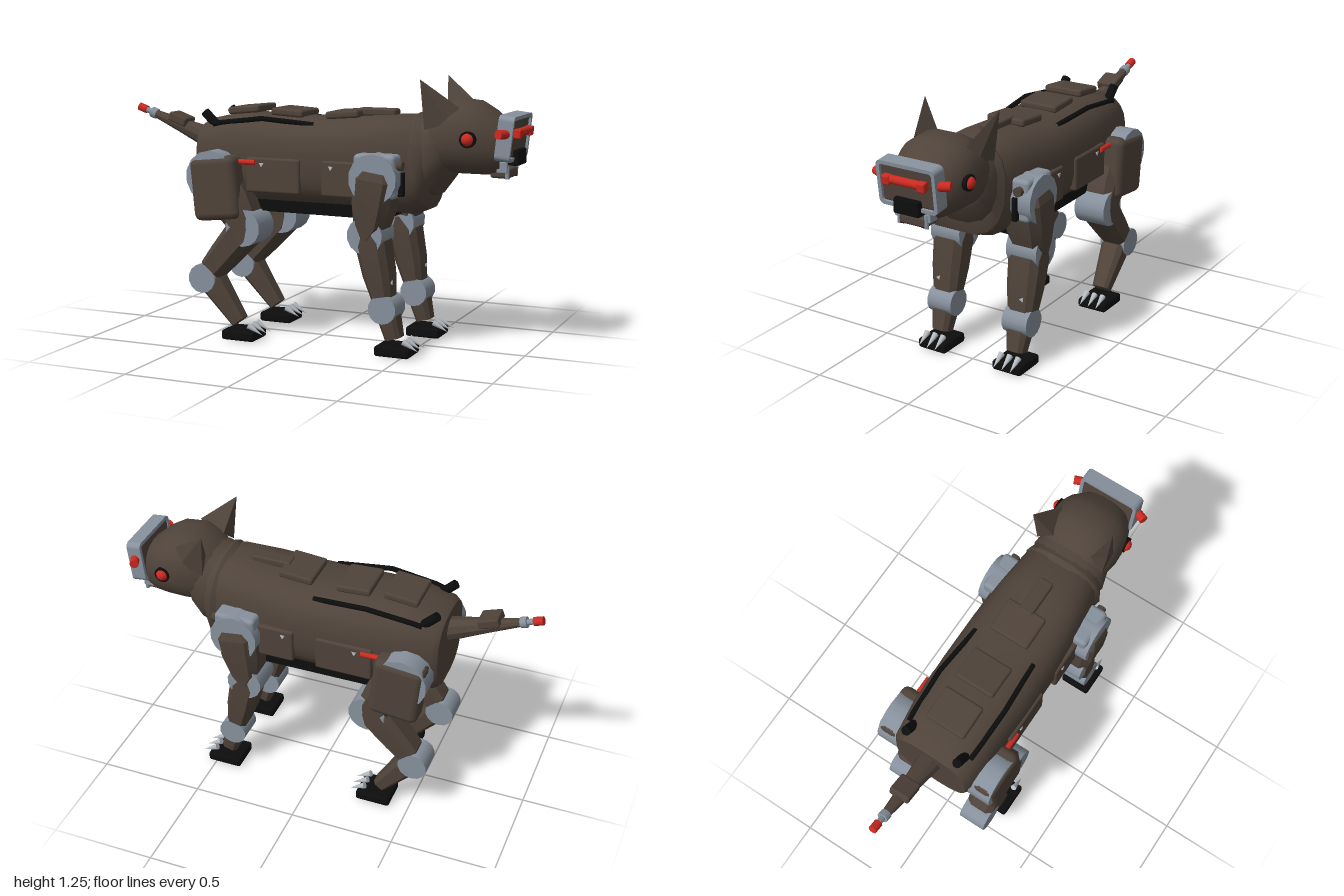
import * as THREE from 'three';
import { toCreasedNormals } from 'three/addons/utils/BufferGeometryUtils.js';
import { RoundedBoxGeometry } from 'three/addons/geometries/RoundedBoxGeometry.js';
import { ConvexGeometry } from 'three/addons/geometries/ConvexGeometry.js';

const mat = (name, color) => Object.assign(new THREE.MeshStandardMaterial({ color }), { name });
const armor = mat('brown armour', 0x4f433a);
const steel = mat('grey steel', 0x87919d);
const rubber = mat('black rubber', 0x0d0d0d);
const red = mat('signal red', 0xcc2a20);
const bright = mat('bright claw metal', 0xb9bec4);

const V = (x, y, z) => new THREE.Vector3(x, y, z);

function add(parent, name, geo, material, x = 0, y = 0, z = 0, rx = 0, ry = 0, rz = 0) {
  const m = new THREE.Mesh(geo, material);
  m.name = name;
  m.position.set(x, y, z);
  m.rotation.set(rx, ry, rz);
  parent.add(m);
  return m;
}

const block = (w, h, d, r = 0.012) => new RoundedBoxGeometry(w, h, d, 2, r);
const cyl = (r, h, n = 16, r2 = r) => new THREE.CylinderGeometry(r, r2, h, n);

// Capped loft along x; station = [x, top, bottom, half width, lean of the bottom in x]
function loft(stations, n = 24, power = 2.5, crease = 0.6) {
  const pos = [], idx = [];
  const sq = (v) => Math.sign(v) * Math.abs(v) ** (2 / power);
  for (const [x, top, bot, w, lean = 0] of stations) {
    for (let j = 0; j < n; j++) {
      const a = ((j + 0.5) / n) * Math.PI * 2, c = sq(Math.cos(a));
      pos.push(x + lean * (1 - c) / 2, (top + bot) / 2 + c * (top - bot) / 2, w * sq(Math.sin(a)));
    }
  }
  const last = stations.length - 1;
  for (const k of [0, last]) {
    const [x, top, bot, , lean = 0] = stations[k];
    pos.push(x + lean / 2, (top + bot) / 2, 0);
  }
  const c0 = (last + 1) * n, c1 = c0 + 1;
  for (let j = 0; j < n; j++) {
    const k = (j + 1) % n;
    for (let i = 0; i < last; i++) {
      const a = i * n + j, b = i * n + k;
      idx.push(a, b, a + n, b, b + n, a + n);
    }
    idx.push(c0, k, j, c1, last * n + j, last * n + k);
  }
  const g = new THREE.BufferGeometry();
  g.setAttribute('position', new THREE.Float32BufferAttribute(pos, 3));
  g.setIndex(idx);
  g.computeVertexNormals();
  return toCreasedNormals(g, crease);
}

// Chamfered limb from a to b in the side plane; stations = [fraction, half width, half depth]
function limb(parent, name, a, b, z, stations) {
  const len = Math.hypot(b[0] - a[0], b[1] - a[1]);
  const geo = loft(stations.map(([t, w, d]) => [t * len, w, -w, d]), 8, 3.5, 0.3);
  add(parent, name, geo, armor, a[0], a[1], z, 0, 0, Math.atan2(b[1] - a[1], b[0] - a[0]));
}

const joint = (p, name, x, y, z, r, depth) => add(p, name, cyl(r, depth, 14), steel, x, y, z, Math.PI / 2);

function foot(parent, x, z) {
  add(parent, 'foot', block(0.17, 0.048, 0.155, 0.014), rubber, x, 0.024, z);
  for (const dz of [-0.045, 0, 0.045])
    add(parent, 'claw', new THREE.ConeGeometry(0.016, 0.085, 8), bright, x + 0.085, 0.052, z + dz, 0, 0, -Math.PI / 2 - 0.5);
}

function frontLeg(s) {
  const g = new THREE.Group();
  g.name = 'frontLeg';
  const z = s * 0.208;
  joint(g, 'shoulderJoint', 0.365, 0.81, s * 0.235, 0.115, 0.13);
  add(g, 'shoulderBlock', block(0.2, 0.2, 0.1, 0.02), steel, 0.365, 0.82, s * 0.235);
  add(g, 'shoulderSlot', block(0.05, 0.11, 0.025, 0.004), rubber, 0.465, 0.785, s * 0.222);
  add(g, 'shoulderBolt', cyl(0.022, 0.06, 8), armor, 0.46, 0.87, s * 0.24, 0, 0, Math.PI / 2);
  limb(g, 'upperLeg', [0.37, 0.84], [0.325, 0.53], s * 0.214,
    [[0, 0.08, 0.095], [0.12, 0.105, 0.108], [0.5, 0.095, 0.105], [0.8, 0.075, 0.09], [1, 0.015, 0.086]]);
  joint(g, 'elbowJoint', 0.325, 0.55, z, 0.085, 0.16);
  limb(g, 'forearm', [0.325, 0.58], [0.405, 0.2], z,
    [[0, 0.015, 0.084], [0.18, 0.075, 0.087], [0.55, 0.068, 0.08], [0.84, 0.05, 0.068], [1, 0.012, 0.064]]);
  joint(g, 'wristJoint', 0.405, 0.215, z, 0.067, 0.132);
  limb(g, 'pastern', [0.4, 0.24], [0.445, 0.075], z, [[0, 0.012, 0.06], [0.3, 0.05, 0.062], [1, 0.04, 0.045]]);
  add(g, 'forearmMark', cyl(0.012, 0.006, 3), bright, 0.438, 0.335, s * 0.23, 0, 0, -Math.PI / 2);
  foot(g, 0.455, z);
  return g;
}

function hindLeg(s) {
  const g = new THREE.Group();
  g.name = 'hindLeg';
  const z = s * 0.208;
  joint(g, 'hipJoint', -0.45, 0.78, s * 0.235, 0.125, 0.14);
  add(g, 'hipArmour', block(0.24, 0.3, 0.12, 0.035), armor, -0.43, 0.725, s * 0.256, 0, 0, 0.1);
  limb(g, 'thigh', [-0.43, 0.76], [-0.28, 0.52], z,
    [[0, 0.1, 0.08], [0.45, 0.1, 0.09], [0.8, 0.08, 0.086], [1, 0.015, 0.084]]);
  joint(g, 'kneeJoint', -0.29, 0.545, z, 0.088, 0.16);
  limb(g, 'shin', [-0.27, 0.57], [-0.52, 0.285], z,
    [[0, 0.015, 0.083], [0.2, 0.08, 0.086], [0.6, 0.07, 0.078], [0.85, 0.06, 0.07], [1, 0.012, 0.066]]);
  joint(g, 'hockJoint', -0.515, 0.285, z, 0.07, 0.135);
  limb(g, 'pastern', [-0.52, 0.31], [-0.345, 0.08], z, [[0, 0.012, 0.064], [0.22, 0.06, 0.066], [1, 0.036, 0.045]]);
  foot(g, -0.325, z);
  return g;
}

function visor() {
  const g = new THREE.Group();
  g.name = 'visor';
  const rect = (Path, w, h, r) => {
    const p = new Path();
    p.absarc(w - r, h - r, r, 0, Math.PI / 2);
    p.absarc(r - w, h - r, r, Math.PI / 2, Math.PI);
    p.absarc(r - w, r - h, r, Math.PI, Math.PI * 1.5);
    p.absarc(w - r, r - h, r, Math.PI * 1.5, Math.PI * 2);
    p.closePath();
    return p;
  };
  const rim = rect(THREE.Shape, 0.15, 0.102, 0.025);
  rim.holes.push(rect(THREE.Path, 0.133, 0.085, 0.014));
  add(g, 'visorRim', new THREE.ExtrudeGeometry(rim, { depth: 0.07, bevelEnabled: false, curveSegments: 4 }), steel, 0, 0, -0.035);
  add(g, 'visorPlate', block(0.27, 0.174, 0.06, 0.01), armor, 0, 0, -0.004);
  add(g, 'lightBar', cyl(0.019, 0.22), red, 0, 0.028, 0.04, 0, 0, Math.PI / 2);
  for (const s of [-1, 1]) {
    add(g, 'lightCap', block(0.042, 0.044, 0.035, 0.008), red, s * 0.09, 0.026, 0.044);
    add(g, 'sideLight', cyl(0.021, 0.06), red, s * 0.165, 0.022, -0.005, 0, 0.4 * s, Math.PI / 2);
  }
  g.rotation.order = 'ZYX';
  g.rotation.set(0, Math.PI / 2, -0.11);
  g.position.set(0.925, 1.0, 0);
  return g;
}

function head() {
  const g = new THREE.Group();
  g.name = 'head';
  add(g, 'skull', loft([[0.54, 1.08, 0.84, 0.14], [0.6, 1.135, 0.83, 0.175], [0.67, 1.165, 0.825, 0.19],
    [0.77, 1.155, 0.825, 0.185], [0.83, 1.12, 0.825, 0.165], [0.89, 1.07, 0.835, 0.125]], 20, 2.4), armor);
  add(g, 'noseBlock', block(0.05, 0.07, 0.13, 0.006), rubber, 0.945, 0.91, 0);
  add(g, 'jaw', block(0.09, 0.045, 0.14, 0.012), armor, 0.885, 0.838, 0);
  for (const s of [-1, 1]) {
    add(g, 'ear', new ConvexGeometry([V(0.55, 1.255, s * 0.195), V(0.565, 1.03, s * 0.175), V(0.58, 1.1, s * 0.1),
      V(0.715, 1.13, s * 0.135), V(0.68, 1.06, s * 0.17)]), armor);
    add(g, 'eyeSocket', cyl(0.037, 0.04), rubber, 0.77, 0.995, s * 0.172, Math.PI / 2);
    add(g, 'eye', new THREE.SphereGeometry(0.03, 14, 10), red, 0.77, 0.995, s * 0.182);
    add(g, 'jawHinge', block(0.05, 0.05, 0.015, 0.004), steel, 0.9, 0.868, s * 0.085);
    add(g, 'jawPiston', cyl(0.01, 0.06, 8), steel, 0.92, 0.845, s * 0.07);
    add(g, 'jawTip', block(0.025, 0.03, 0.025, 0.005), rubber, 0.915, 0.83, s * 0.055);
  }
  g.add(visor());
  return g;
}

function tail() {
  const g = new THREE.Group();
  g.name = 'tail';
  const L = 0.36;
  add(g, 'tailCone', loft([[0, 0.058, -0.058, 0.058], [L * 0.5, 0.036, -0.036, 0.038], [L, 0.018, -0.018, 0.02]], 10, 2), armor);
  add(g, 'tailBox', block(0.1, 0.045, 0.1, 0.01), armor, 0.21, -0.03, 0);
  add(g, 'tailCollar', cyl(0.026, 0.03, 10), steel, L, 0, 0, 0, 0, Math.PI / 2);
  add(g, 'tailRod', cyl(0.014, 0.05, 10), steel, L + 0.03, 0, 0, 0, 0, Math.PI / 2);
  add(g, 'tailLight', cyl(0.02, 0.045, 12), red, L + 0.068, 0, 0, 0, 0, Math.PI / 2);
  g.position.set(-0.58, 0.92, 0);
  g.rotation.z = Math.PI - 0.345;
  return g;
}

export function createModel() {
  const model = new THREE.Group();
  model.name = 'robotDog';

  // Trunk, layered neck collars and belly
  add(model, 'trunk', loft([[-0.585, 1.02, 0.66, 0.185], [-0.56, 1.035, 0.645, 0.205], [-0.4, 1.07, 0.64, 0.222],
    [-0.15, 1.062, 0.64, 0.232], [0.1, 1.06, 0.64, 0.232], [0.3, 1.078, 0.635, 0.218], [0.48, 1.085, 0.625, 0.2],
    [0.53, 1.06, 0.65, 0.18]], 24, 2.9), armor);
  add(model, 'chestCollar', loft([[0.46, 1.08, 0.63, 0.19, 0.04], [0.5, 1.1, 0.65, 0.205, 0.05],
    [0.55, 1.085, 0.72, 0.185, 0.02]], 16, 2.4), armor);
  add(model, 'neck', loft([[0.49, 1.09, 0.7, 0.17, 0.04], [0.55, 1.1, 0.72, 0.19, 0.04],
    [0.61, 1.1, 0.8, 0.175, 0.04], [0.66, 1.08, 0.83, 0.15]], 16, 2.3), armor);
  add(model, 'belly', loft([[-0.3, 0.68, 0.605, 0.17], [0.36, 0.68, 0.6, 0.17]], 8, 5, 0.3), rubber);

  // Plates along the spine
  for (const [x, y, tilt] of [[-0.375, 1.083, 0.1], [-0.148, 1.076, -0.06], [0.132, 1.076, 0.08]])
    add(model, 'backPlate', block(0.165, 0.035, 0.2), armor, x, y, 0, 0, 0, tilt);
  add(model, 'spineRidge', block(0.19, 0.035, 0.07, 0.01), armor, 0.28, 1.088, 0);

  for (const s of [-1, 1]) {
    // Flank panels with small marks
    for (const [x, w] of [[-0.155, 0.275], [0.2, 0.22]])
      add(model, 'flankPanel', block(w, 0.165, 0.04), armor, x, 0.793, s * 0.222);
    for (const x of [-0.21, 0.14])
      add(model, 'flankMark', cyl(0.013, 0.008, 3), bright, x, 0.845, s * 0.243, Math.PI / 2);
    add(model, 'flankLight', cyl(0.013, 0.085, 10), red, -0.285, 0.852, s * 0.243, 0, 0, Math.PI / 2);

    // Hose and stub pipe on the back
    const path = new THREE.CurvePath();
    const pts = [V(-0.5, 1.015, s * 0.163), V(-0.46, 1.025, s * 0.167), V(-0.24, 1.052, s * 0.174), V(0.02, 1.03, s * 0.155)];
    for (let i = 0; i < 3; i++) path.add(new THREE.LineCurve3(pts[i], pts[i + 1]));
    add(model, 'backHose', new THREE.TubeGeometry(path, 24, 0.012, 8), rubber);
    add(model, 'stubPipe', cyl(0.022, 0.1, 12), rubber, -0.525, 1.035, s * 0.135, 0, 0, 0.8);

    model.add(frontLeg(s), hindLeg(s));
  }
  model.add(head(), tail());
  return model;
}
